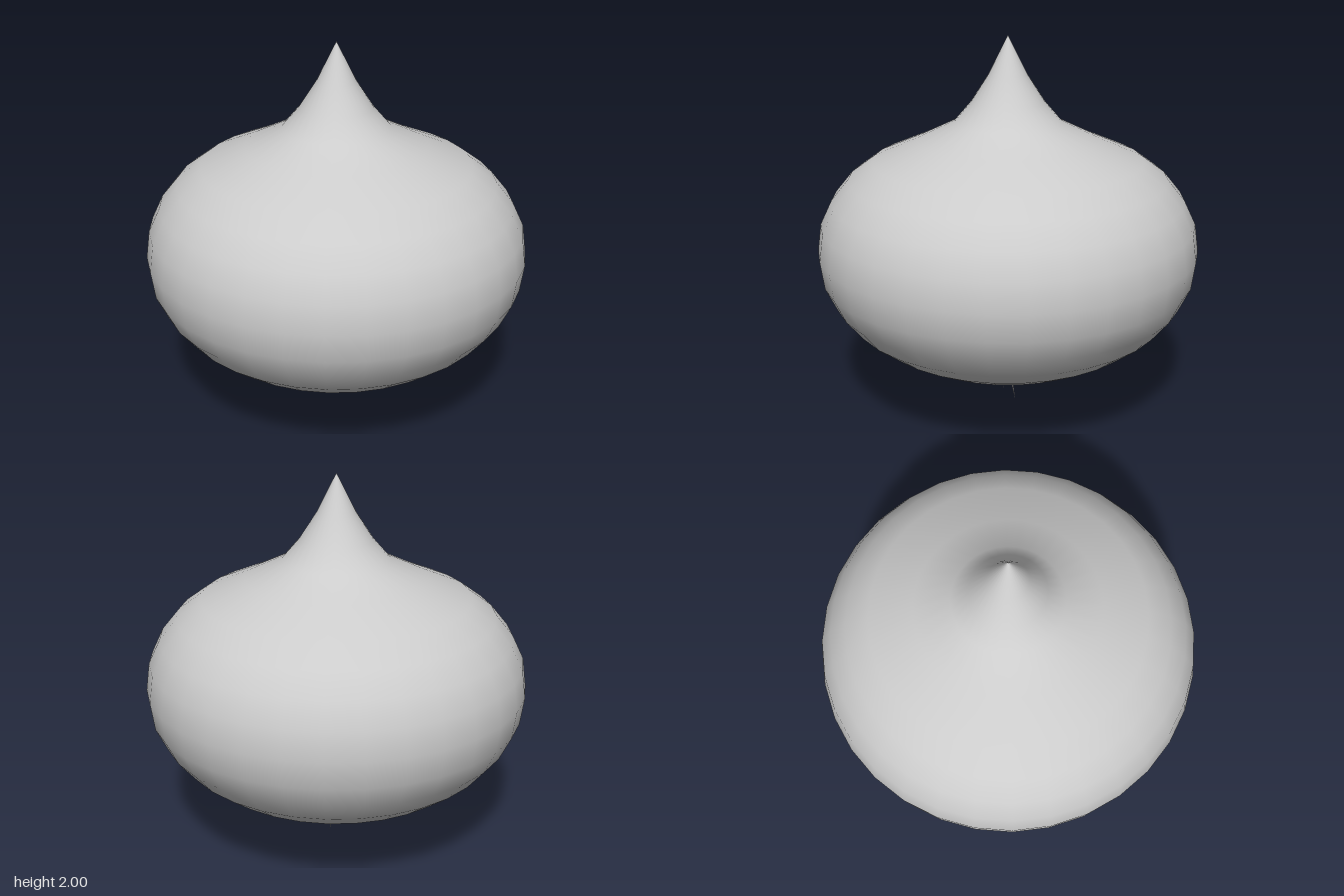
import * as THREE from 'three';

const material = new THREE.MeshStandardMaterial({ color: 0xcccccc });

// Thin tapered root running from a start point to a pointed tip
function createRoot(start, tip) {
  const dir = tip.clone().sub(start);
  const geometry = new THREE.ConeGeometry(0.011, dir.length(), 6);
  const root = new THREE.Mesh(geometry, material);
  root.position.copy(start).addScaledVector(dir, 0.5);
  root.quaternion.setFromUnitVectors(new THREE.Vector3(0, 1, 0), dir.normalize());
  return root;
}

export function createModel() {
  const group = new THREE.Group();
  group.name = 'onion';

  // Bulb and pointed neck: one smooth turned profile, bottom to top
  const profile = [
    [0, 0.19], [0.2, 0.225], [0.38, 0.275], [0.55, 0.335], [0.7, 0.415],
    [0.825, 0.51], [0.915, 0.62], [0.975, 0.745], [0.995, 0.89], [0.975, 1.035],
    [0.915, 1.16], [0.825, 1.27], [0.7, 1.362], [0.47, 1.462], [0.28, 1.555],
    [0.19, 1.66], [0.1, 1.8], [0, 2],
  ].map(([x, y]) => new THREE.Vector2(x, y));
  const bulb = new THREE.Mesh(new THREE.LatheGeometry(profile, 32), material);
  bulb.name = 'bulb';
  group.add(bulb);

  // Two fine roots splaying out below the bulb
  const roots = new THREE.Group();
  roots.name = 'roots';
  const ends = [
    [[-0.004, 0.2, 0.004], [-0.035, 0.04, 0.021]],
    [[0.004, 0.2, -0.004], [0.029, 0, -0.037]],
  ];
  ends.forEach(([start, tip], i) => {
    const root = createRoot(new THREE.Vector3(...start), new THREE.Vector3(...tip));
    root.name = `root${i + 1}`;
    roots.add(root);
  });
  group.add(roots);

  return group;
}
